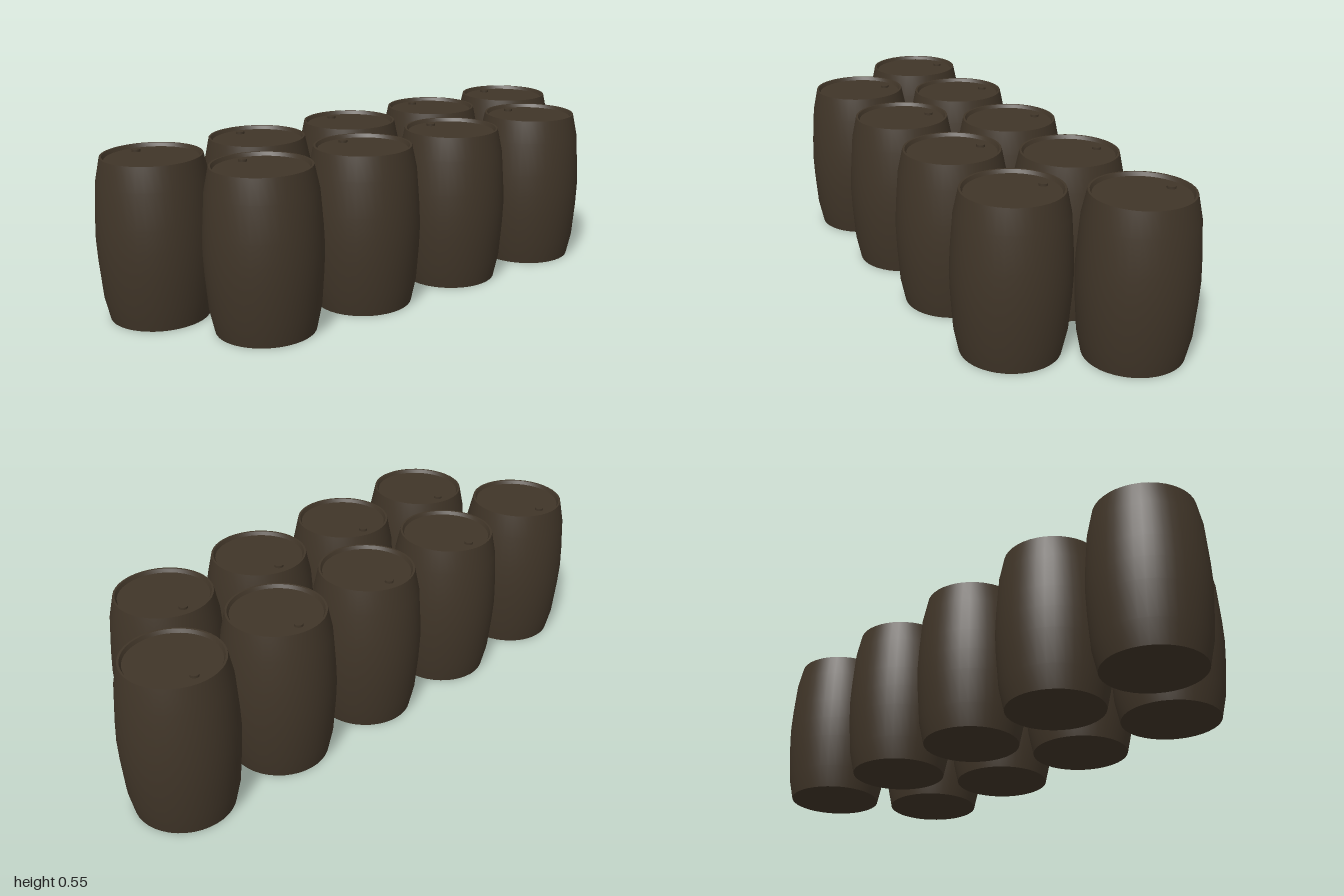
import * as THREE from 'three';
import { toCreasedNormals } from 'three/addons/utils/BufferGeometryUtils.js';

const HEIGHT = 0.548;

export function createModel() {
  const group = new THREE.Group();
  const brown = new THREE.MeshStandardMaterial({ color: 0x403528 });
  brown.name = 'dark brown';

  const lathe = (points) => toCreasedNormals(
    new THREE.LatheGeometry(points.map(([r, y]) => new THREE.Vector2(r, y)), 40), 0.5);

  // Bulging staves with a closed base
  const bodyGeometry = lathe([
    [0, 0], [0.165, 0], [0.182, 0.08], [0.191, 0.2], [0.194, 0.274],
    [0.191, 0.348], [0.182, 0.468], [0.165, HEIGHT],
  ]);
  // Rim and slightly sunken lid
  const lidGeometry = lathe([
    [0.165, HEIGHT], [0.158, HEIGHT], [0.152, HEIGHT - 0.012], [0, HEIGHT - 0.012],
  ]);
  // Small plug near the edge of the lid
  const bungGeometry = new THREE.CylinderGeometry(0.015, 0.015, 0.008, 16);

  function makeBarrel(x, z) {
    const barrel = new THREE.Group();
    barrel.name = 'barrel';
    const add = (geometry, name) => {
      const mesh = new THREE.Mesh(geometry, brown);
      mesh.name = name;
      barrel.add(mesh);
      return mesh;
    };
    add(bodyGeometry, 'body');
    add(lidGeometry, 'lid');
    add(bungGeometry, 'bung').position.set(-0.108, HEIGHT - 0.008, 0);
    barrel.position.set(x, 0, z);
    group.add(barrel);
  }

  // Two staggered rows: five barrels and four barrels
  const step = 0.403;
  for (const [x, count] of [[-0.166, 5], [0.166, 4]]) {
    for (let i = 0; i < count; i++) makeBarrel(x, (i - (count - 1) / 2) * step);
  }
  return group;
}
